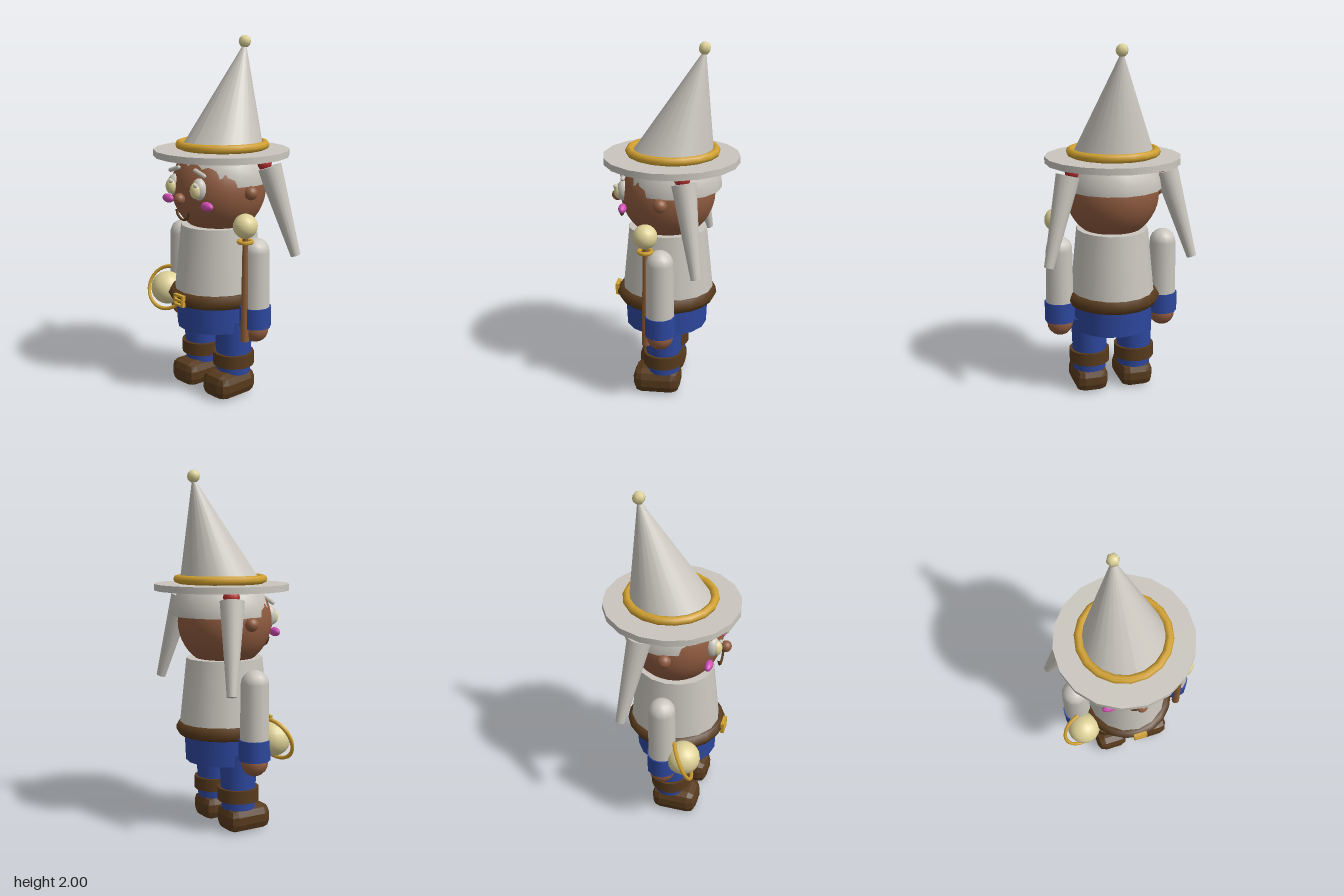
import * as THREE from 'three';
import { RoundedBoxGeometry } from 'three/addons/geometries/RoundedBoxGeometry.js';

const material = (name, color) => {
  const m = new THREE.MeshStandardMaterial({ color });
  m.name = name;
  return m;
};

export function createModel() {
  const model = new THREE.Group();
  model.name = 'gnome';

  const cloth = material('pale cloth', 0xcac6be);
  const blue = material('blue cloth', 0x2d479e);
  const leather = material('brown leather', 0x573a1c);
  const skin = material('skin', 0x8f5b3f);
  const gold = material('gold', 0xd0a030);
  const cream = material('cream', 0xded298);
  const pink = material('pink', 0xd04fb4);
  const red = material('red', 0xb83030);
  const wood = material('wood', 0x8c5c36);

  const add = (name, geometry, mat, x, y, z, parent = model) => {
    const mesh = new THREE.Mesh(geometry, mat);
    mesh.name = name;
    mesh.position.set(x, y, z);
    parent.add(mesh);
    return mesh;
  };
  const ball = (r, w = 20, h = 14) => new THREE.SphereGeometry(r, w, h);
  const tube = (top, bottom, height, sides = 16) => new THREE.CylinderGeometry(top, bottom, height, sides);
  const ellipsoid = (rx, ry, rz) => ball(1).scale(rx, ry, rz);

  // Hat: brim, cone leaning backwards, band and bobble
  add('hatBrim', tube(0.378, 0.378, 0.036, 18), cloth, 0, 1.367, 0);
  const cone = tube(0.008, 0.235, 0.575, 24);
  const p = cone.attributes.position;
  for (let i = 0; i < p.count; i++) {
    p.setZ(i, p.getZ(i) - 0.175 * (p.getY(i) / 0.575 + 0.5));
  }
  cone.computeVertexNormals();
  add('hatCone', cone, cloth, 0, 1.3725, 0).position.y += 0.2875;
  add('hatBand', new THREE.TorusGeometry(0.238, 0.024, 8, 18).rotateX(Math.PI / 2), gold, 0, 1.41, -0.007);
  add('hatBobble', ball(0.035, 6, 6), cream, 0, 1.965, -0.175);

  // Head and hair cap
  add('head', ball(0.264, 32, 24), skin, 0, 1.175, 0.02);
  add('hair', new THREE.SphereGeometry(0.273, 16, 8, 0, Math.PI * 2, 0, Math.PI / 2), cloth, 0, 1.21, -0.008);
  cloth.side = THREE.DoubleSide;
  add('nose', ball(0.032), skin, 0, 1.14, 0.305);
  add('mouth', new THREE.TorusGeometry(0.052, 0.007, 6, 16, Math.PI).rotateZ(Math.PI), leather, 0, 1.075, 0.28);

  // Torso, belt and hips
  add('tunic', tube(0.22, 0.262, 0.4).scale(0.92, 1, 1), cloth, 0, 0.77, 0.02);
  add('belt', new THREE.TorusGeometry(0.245, 0.042, 6, 20).rotateX(Math.PI / 2).scale(0.95, 1, 1), leather, 0, 0.572, 0.027);
  add('hips', tube(0.24, 0.232, 0.19).scale(0.97, 1, 1), blue, 0, 0.48, 0.03);

  // Buckle: frame with a middle bar
  for (const s of [-1, 1]) {
    add('buckleSide', new THREE.BoxGeometry(0.012, 0.066, 0.02), gold, s * 0.034, 0.573, 0.312);
    add('buckleEdge', new THREE.BoxGeometry(0.08, 0.012, 0.02), gold, 0, 0.573 + s * 0.027, 0.312);
  }
  add('buckleBar', new THREE.BoxGeometry(0.07, 0.012, 0.02), gold, 0, 0.573, 0.314);

  const bootShape = new RoundedBoxGeometry(0.195, 0.145, 0.27, 1, 0.05).toNonIndexed();
  bootShape.computeVertexNormals();

  // Paired parts
  for (const s of [-1, 1]) {
    const side = s > 0 ? 'left' : 'right';

    // Face
    add(side + 'Ear', ball(0.038), skin, s * 0.268, 1.175, 0.03);
    add(side + 'EyeWhite', ellipsoid(0.044, 0.06, 0.04), cloth, s * 0.102, 1.2, 0.25);
    add(side + 'Iris', ellipsoid(0.034, 0.044, 0.03), cream, s * 0.102, 1.195, 0.276);
    add(side + 'EyeGlint', ball(0.012, 10, 8), cloth, s * 0.102 + 0.018, 1.227, 0.294);
    const brow = add(side + 'Eyebrow', new THREE.CapsuleGeometry(0.012, 0.075, 4, 8).rotateZ(Math.PI / 2), cloth, s * 0.105, 1.287, 0.25);
    brow.rotation.z = -s * 0.3;
    add(side + 'Cheek', ellipsoid(0.044, 0.025, 0.022), pink, s * 0.163, 1.115, 0.25);

    // Pigtail and its tie
    add(side + 'HairTie', ball(0.045, 12, 8), red, s * 0.248, 1.325, -0.085);
    const top = new THREE.Vector3(s * 0.278, 1.305, -0.098);
    const tip = new THREE.Vector3(s * 0.408, 0.822, -0.178);
    const dir = top.clone().sub(tip);
    const tail = add(side + 'Pigtail', tube(0.067, 0.027, dir.length()), cloth, 0, 0, 0);
    tail.position.copy(top).add(tip).multiplyScalar(0.5);
    tail.quaternion.setFromUnitVectors(new THREE.Vector3(0, 1, 0), dir.normalize());

    // Arm
    const arm = new THREE.Group();
    arm.name = side + 'Arm';
    arm.position.set(s * 0.307, 0, 0.027);
    model.add(arm);
    add('shoulder', ball(0.076, 12, 10), cloth, 0, 0.86, 0, arm);
    add('sleeve', tube(0.076, 0.08, 0.36, 12), cloth, 0, 0.68, 0, arm);
    add('cuff', tube(0.087, 0.087, 0.115, 10), blue, 0, 0.498, 0, arm);
    add('hand', ball(0.074, 14, 10), skin, 0, 0.425, 0, arm);

    // Leg
    const leg = new THREE.Group();
    leg.name = side + 'Leg';
    leg.position.set(s * 0.135, 0, 0.03);
    model.add(leg);
    add('trouser', tube(0.107, 0.095, 0.32), blue, 0, 0.29, 0, leg);
    add('legBand', tube(0.117, 0.117, 0.073), leather, 0, 0.213, 0, leg);
    add('boot', bootShape, leather, 0, 0.0725, 0.035, leg);
  }

  // Staff at the left hand
  add('staffShaft', tube(0.014, 0.024, 0.575, 10), wood, 0.305, 0.657, 0.105);
  add('staffRing', new THREE.TorusGeometry(0.036, 0.011, 6, 16).rotateX(Math.PI / 2), gold, 0.305, 0.927, 0.105);
  add('staffOrb', ball(0.067, 14, 10), cream, 0.305, 1.012, 0.105);

  // Globe with an open, tilted ring at the right hand
  add('globe', ball(0.096, 18, 12), cream, -0.305, 0.545, 0.15);
  const arc = new THREE.TorusGeometry(0.126, 0.011, 6, 18, Math.PI * 1.25).rotateZ(Math.PI / 2);
  arc.rotateX(-0.4).rotateY(0.3);
  add('globeRing', arc, gold, -0.308, 0.545, 0.15);

  return model;
}
